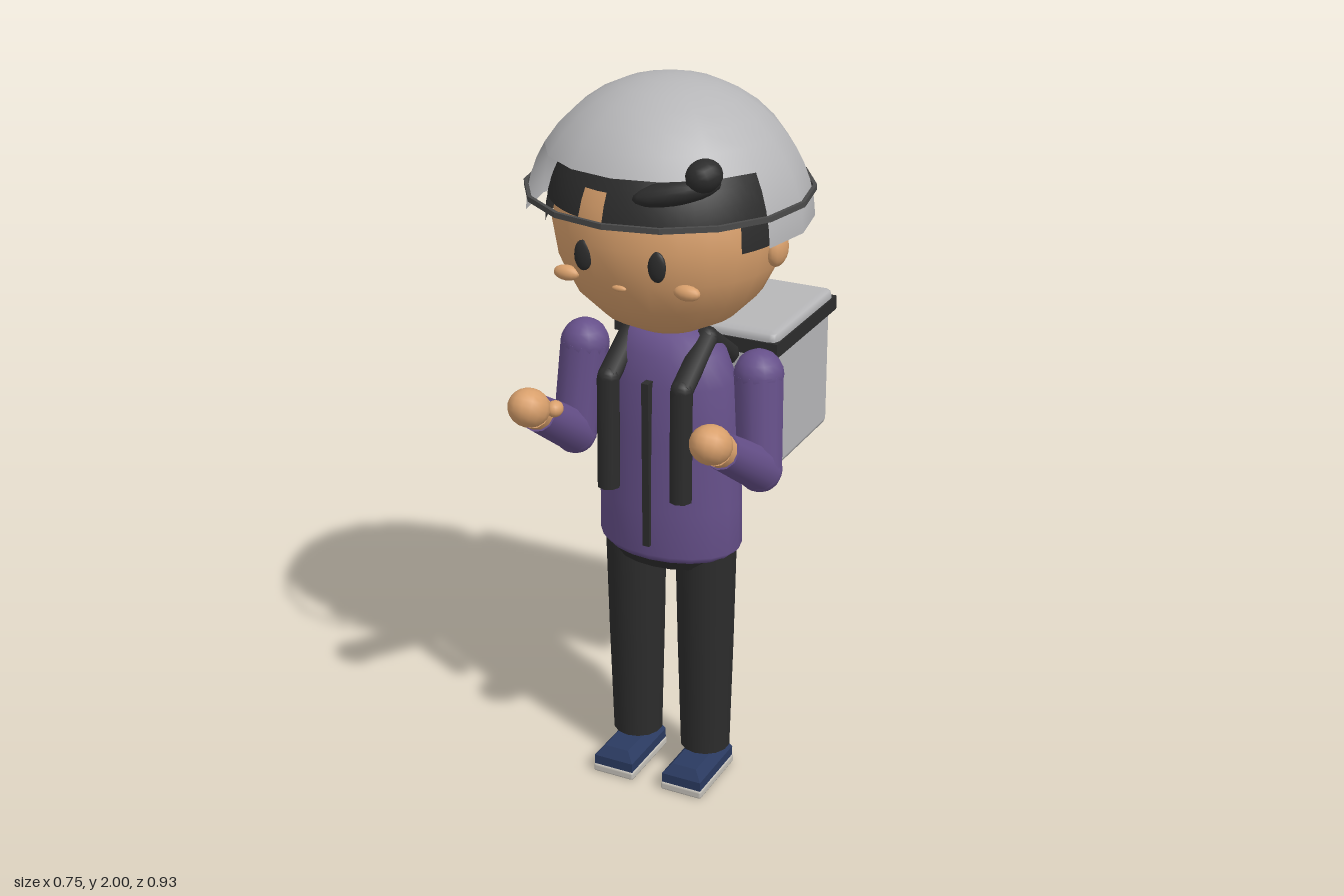
import * as THREE from 'three';
import { RoundedBoxGeometry } from 'three/addons/geometries/RoundedBoxGeometry.js';

const mat = (name, color, side = THREE.FrontSide) => {
  const m = new THREE.MeshStandardMaterial({ color, side });
  m.name = name;
  return m;
};

export function createModel() {
  const root = new THREE.Group();
  root.name = 'courier';
  const skin = mat('skin', 0xd9a06c);
  const shell = mat('light grey', 0xb6b6b8, THREE.DoubleSide);
  const purple = mat('purple jacket', 0x66508a);
  const black = mat('black cloth', 0x2c2c2c, THREE.DoubleSide);
  const trim = mat('dark grey trim', 0x4a4a4a);
  const navy = mat('navy', 0x2a3a60);
  const soleGrey = mat('sole', 0xc4c0b8);

  const Z = 0.09; // body axis
  const HEAD = new THREE.Vector3(0, 1.63, Z);

  const add = (name, geo, m, x = 0, y = 0, z = 0, parent = root) => {
    const mesh = new THREE.Mesh(geo, m);
    mesh.name = name;
    mesh.position.set(x, y, z);
    parent.add(mesh);
    return mesh;
  };
  const ball = (name, m, p, s, seg = 14) => {
    const b = add(name, new THREE.SphereGeometry(1, seg, 10), m, ...p);
    b.scale.set(...s);
    return b;
  };
  // tapered limb between two points
  const limb = (name, m, a, b, ra, rb, seg = 12) => {
    const A = new THREE.Vector3(...a), B = new THREE.Vector3(...b);
    const d = B.clone().sub(A);
    const mid = A.clone().add(B).multiplyScalar(0.5);
    const c = add(name, new THREE.CylinderGeometry(rb, ra, d.length(), seg), m, mid.x, mid.y, mid.z);
    c.quaternion.setFromUnitVectors(new THREE.Vector3(0, 1, 0), d.normalize());
    return c;
  };
  // piece of a sphere about the head: angles from the front in degrees, heights in units
  const patch = (name, m, r, a0, a1, yTop, yBottom, seg, rows = 6) => {
    const th = (y) => Math.acos(THREE.MathUtils.clamp((y - HEAD.y) / r, -1, 1));
    const rad = Math.PI / 180, t0 = th(yTop);
    const g = new THREE.SphereGeometry(r, seg, rows, Math.PI / 2 + a0 * rad, (a1 - a0) * rad, t0, th(yBottom) - t0);
    return add(name, g, m, HEAD.x, HEAD.y, HEAD.z);
  };

  // head and face
  ball('head', skin, HEAD.toArray(), [0.302, 0.302, 0.297], 24);
  ball('mouth', skin, [0, 1.527, 0.372], [0.02, 0.008, 0.008]);
  for (const s of [-1, 1]) {
    ball('ear', skin, [s * 0.295, 1.588, 0.08], [0.027, 0.05, 0.045]);
    ball('eye', black, [s * 0.102, 1.597, 0.367], [0.025, 0.04, 0.012]);
    ball('cheek', skin, [s * 0.168, 1.53, 0.335], [0.036, 0.02, 0.02]);
  }

  // hair: crown, fringe with a parting, side and back locks
  const R = 0.318;
  patch('hairCrown', black, R, -180, 180, 1.95, 1.77, 32);
  patch('fringeRight', black, R, -70, -20, 1.78, 1.7, 8, 2);
  patch('fringeLeft', black, R, -6, 70, 1.78, 1.7, 12, 2);
  patch('sideHairLeft', black, R, 60, 131, 1.78, 1.62, 10, 3);
  patch('sideHairRight', black, R, -131, -60, 1.78, 1.62, 10, 3);
  patch('backHair', black, R, 131, 229, 1.78, 1.52, 14, 4);
  const swoop = ball('hairSwoop', black, [0.14, 1.785, 0.335], [0.11, 0.032, 0.04]);
  swoop.rotation.set(0, 0.4, 0.2);
  const tip = ball('hairTip', black, [0.2, 1.825, 0.31], [0.048, 0.042, 0.05]);
  tip.rotation.z = 0.5;
  limb('ponytail', black, [0, 1.35, -0.265], [0, 1.61, -0.222], 0.02, 0.04, 10);

  // helmet: sixteen-sided dome, cut higher over the face
  const H = 0.37;
  patch('helmetDome', shell, H, -180, 180, 2.0, 1.82, 16, 6);
  patch('helmetSkirt', shell, H, 67.5, 292.5, 1.82, 1.64, 10, 4);
  const ring = [];
  for (let i = 0; i < 16; i++) {
    const a = (i / 16) * Math.PI * 2;
    ring.push([Math.sin(a), Math.cos(a)]);
  }
  const rim = new THREE.Shape(ring.map(([x, y]) => new THREE.Vector2(x * 0.373, y * 0.373)));
  rim.holes.push(new THREE.Path(ring.map(([x, y]) => new THREE.Vector2(x * 0.363, y * 0.363)).reverse()));
  const visor = add('visorRing', new THREE.ExtrudeGeometry(rim, { depth: 0.014, bevelEnabled: false }), trim, 0, 1.722, Z);
  visor.rotation.x = Math.PI / 2;

  // jacket
  const profile = [[0, 0.7], [0.185, 0.7], [0.203, 0.72], [0.202, 0.85], [0.195, 1.05],
    [0.185, 1.2], [0.155, 1.28], [0.11, 1.33], [0, 1.35]];
  const torso = add('jacket', new THREE.LatheGeometry(profile.map((p) => new THREE.Vector2(...p)), 20), purple, 0, 0, Z);
  torso.scale.z = 0.69;
  add('zip', new THREE.BoxGeometry(0.02, 0.47, 0.03), black, 0, 0.985, 0.225);
  const hips = add('hips', new THREE.CylinderGeometry(0.195, 0.16, 0.05, 20), black, 0, 0.695, Z);
  hips.scale.z = 0.68;

  for (const s of [-1, 1]) {
    // arm, bent forward
    const shoulder = [s * 0.255, 1.24, 0.09], elbow = [s * 0.275, 0.985, 0.12], wrist = [s * 0.264, 1.125, 0.335];
    ball('shoulder', purple, shoulder, [0.066, 0.066, 0.066]);
    limb('upperArm', purple, shoulder, elbow, 0.066, 0.06);
    ball('elbow', purple, elbow, [0.06, 0.062, 0.06]);
    limb('forearm', purple, elbow, wrist, 0.06, 0.05);
    limb('wrist', skin, wrist, [s * 0.262, 1.14, 0.36], 0.045, 0.045);
    const hand = ball('hand', skin, [s * 0.26, 1.162, 0.387], [0.054, 0.052, 0.064]);
    hand.rotation.x = -0.5;
    ball('thumb', skin, [s * 0.21, 1.15, 0.34], [0.022, 0.022, 0.026]);

    // leg
    const x = s * 0.106;
    limb('thigh', black, [x, 0.42, Z], [x, 0.72, Z], 0.079, 0.085, 14);
    limb('shin', black, [x, 0.085, Z], [x, 0.42, Z], 0.07, 0.079, 14);

    // shoe: sole and a block drawn in towards the top
    add('sole', new RoundedBoxGeometry(0.125, 0.025, 0.22, 1, 0.007), soleGrey, x, 0.0125, 0.14);
    const g = new THREE.BoxGeometry(0.118, 0.055, 0.212, 1, 2, 1).toNonIndexed();
    const p = g.attributes.position;
    for (let i = 0; i < p.count; i++) {
      if (p.getY(i) > 0.02) {
        p.setX(i, p.getX(i) * 0.62);
        p.setZ(i, p.getZ(i) * 0.86 - 0.005);
      }
    }
    g.computeVertexNormals();
    add('shoe', g, navy, x, 0.0515, 0.14);

    // backpack strap, over the shoulder
    const pts = [[0.91, 0.245], [1.22, 0.24], [1.315, 0.09], [1.22, -0.045]];
    for (let i = 0; i < 3; i++) {
      const [y0, z0] = pts[i], [y1, z1] = pts[i + 1];
      limb('strap', black, [x, y0, z0], [x, y1, z1], 0.031, 0.031, 8);
      if (i) ball('strapJoint', black, [x, y0, z0], [0.031, 0.031, 0.031], 8);
    }
  }

  // delivery box with a dark band under the lid
  const bz = -0.259;
  add('box', new RoundedBoxGeometry(0.46, 0.36, 0.395, 1, 0.02), shell, 0, 1.06, bz);
  add('boxBand', new THREE.BoxGeometry(0.485, 0.04, 0.41), black, 0, 1.245, bz);
  add('boxLid', new RoundedBoxGeometry(0.475, 0.06, 0.4, 1, 0.022), shell, 0, 1.262, bz);
  return root;
}
